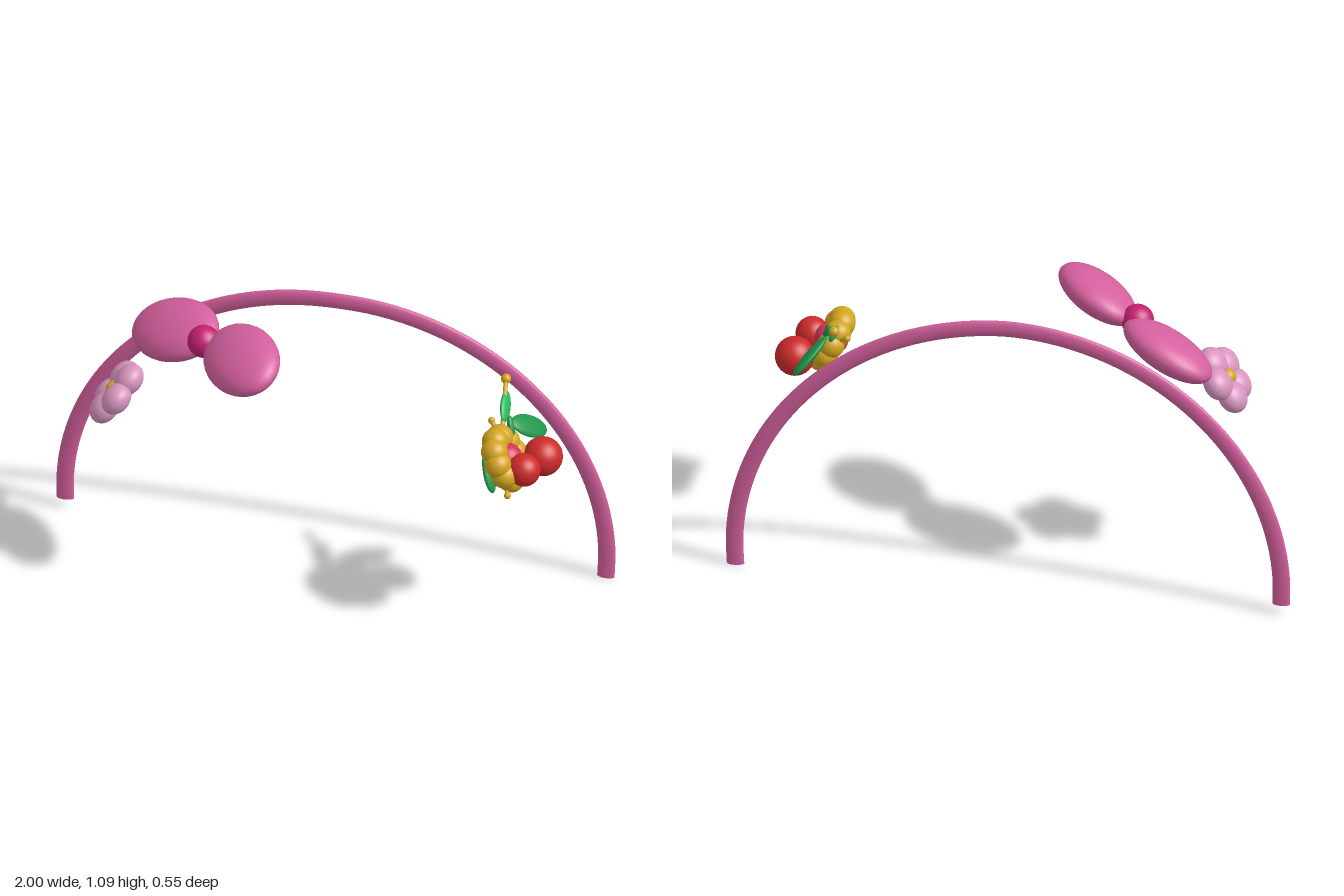
import * as THREE from 'three';

const V = (a) => new THREE.Vector3(...a);

function paint(name, color, side = THREE.FrontSide) {
  const m = new THREE.MeshStandardMaterial({ color, side });
  m.name = name;
  return m;
}

export function createModel() {
  const root = new THREE.Group();
  root.name = 'decoratedHeadband';

  const pink = paint('pink', 0xd4609e, THREE.DoubleSide);
  const magenta = paint('magenta', 0xc42070);
  const palePink = paint('palePink', 0xd795bf);
  const yellow = paint('yellow', 0xd3a51e);
  const red = paint('red', 0xcc2a2a);
  const rose = paint('rose', 0xd8305a);
  const lightGreen = paint('lightGreen', 0x2bb85c);
  const green = paint('green', 0x1f964a);

  const ball = new THREE.SphereGeometry(1, 32, 20);

  // Ellipsoid with its x half-size along "long" and y half-size along "normal"
  function ellipsoid(parent, name, mat, pos, size, long = [1, 0, 0], normal = [0, 1, 0]) {
    const x = V(long).normalize();
    const z = x.clone().cross(V(normal)).normalize();
    const y = z.clone().cross(x);
    const mesh = new THREE.Mesh(ball, mat);
    mesh.name = name;
    mesh.quaternion.setFromRotationMatrix(new THREE.Matrix4().makeBasis(x, y, z));
    mesh.position.copy(V(pos));
    mesh.scale.set(...size);
    parent.add(mesh);
    return mesh;
  }

  function group(name) {
    const g = new THREE.Group();
    g.name = name;
    root.add(g);
    return g;
  }

  // Ring of round petals in the plane spanned by the tangent and z
  function petalRing(parent, mat, center, tangent, normal, count, ring, size) {
    const t = V(tangent).normalize();
    for (let i = 0; i < count; i++) {
      const a = (i / count) * Math.PI * 2;
      const out = t.clone().multiplyScalar(Math.cos(a)).add(V([0, 0, Math.sin(a)]));
      const p = V(center).addScaledVector(out, ring);
      ellipsoid(parent, 'petal', mat, p.toArray(), size, out.toArray(), normal);
    }
  }

  // Headband: flattened tube along an arc, bowed slightly forward at the top
  const band = group('headband');
  const flat = 0.46, R = 0.968, start = -0.088, end = Math.PI + 0.05;
  band.scale.z = flat;
  const arcPoint = (a) => {
    const x = R * Math.cos(a);
    return new THREE.Vector3(x, 0.09 + R * Math.sin(a), (-0.236 - 0.027 * Math.abs(x)) / flat);
  };
  const path = [];
  for (let i = 0; i <= 32; i++) path.push(arcPoint(start + ((end - start) * i) / 32));
  const arc = new THREE.CatmullRomCurve3(path);
  const tube = new THREE.Mesh(new THREE.TubeGeometry(arc, 96, 0.031, 20), pink);
  tube.name = 'bandArc';
  band.add(tube);
  for (const u of [0, 1]) {
    const cap = new THREE.Mesh(new THREE.CircleGeometry(0.031, 20), pink);
    cap.name = 'bandEnd';
    const p = arc.getPointAt(u);
    cap.position.copy(p);
    cap.lookAt(p.clone().addScaledVector(arc.getTangentAt(u), u ? 1 : -1));
    band.add(cap);
  }

  // Bow: two flattened lobes and a knot
  const bow = group('bow');
  const bowNormal = [-0.41, 0.87, 0.27];
  const lobe = [0.185, 0.068, 0.13];
  ellipsoid(bow, 'bowLobeFront', pink, [-0.253, 1.01, 0.115], lobe, [0.636, 0.048, 0.77], bowNormal);
  ellipsoid(bow, 'bowLobeBack', pink, [-0.538, 0.942, -0.103], lobe, [0.84, 0.26, 0.476], bowNormal);
  ellipsoid(bow, 'bowKnot', magenta, [-0.413, 0.988, 0.004], [0.058, 0.058, 0.058]);

  // Small five-petal flower
  const flower = group('smallFlower');
  const fc = [-0.715, 0.755, 0.045], fn = [-0.8, 0.6, 0];
  petalRing(flower, palePink, fc, [0.6, 0.8, 0], fn, 5, 0.071, [0.06, 0.047, 0.06]);
  ellipsoid(flower, 'flowerCenter', yellow, fc, [0.036, 0.042, 0.036], [0.6, 0.8, 0], fn);

  // Yellow flower with many petals
  const bloom = group('yellowFlower');
  const bc = [0.688, 0.73, 0.108], bn = [0.87, 0.49, 0], bt = [-0.49, 0.87, 0];
  petalRing(bloom, yellow, bc, bt, bn, 10, 0.076, [0.047, 0.047, 0.047]);
  ellipsoid(bloom, 'bloomCenter', rose, bc, [0.055, 0.06, 0.055], bt, bn);

  // Red berries
  const berries = group('berries');
  ellipsoid(berries, 'largeBerry', red, [0.803, 0.698, 0.025], [0.07, 0.07, 0.07]);
  ellipsoid(berries, 'smallBerry', red, [0.762, 0.72, 0.148], [0.059, 0.059, 0.059]);

  // Leaves
  const leaves = group('leaves');
  ellipsoid(leaves, 'upperLeaf', lightGreen, [0.655, 0.845, -0.038], [0.064, 0.013, 0.03], [-0.1, 0.4, -0.95], [0.9, 0.35, 0.1]);
  ellipsoid(leaves, 'backLeaf', green, [0.735, 0.758, -0.06], [0.092, 0.016, 0.044], [0.5, -0.5, -0.65], [0.75, 0.65, 0.05]);
  ellipsoid(leaves, 'frontLeaf', green, [0.645, 0.715, 0.18], [0.075, 0.016, 0.035], [0.25, -0.75, 0.45], [0.9, 0.4, 0.1]);
  ellipsoid(leaves, 'smallLeaf', green, [0.69, 0.805, 0.03], [0.045, 0.012, 0.016], [0.2, -0.85, 0.4], [0.9, 0.3, 0.1]);

  // Stamens: thin stalks with round tips
  const stamens = group('stamens');
  const stalks = [
    [[0.66, 0.81, 0.03], [0.64, 0.906, -0.117], 0.018],
    [[0.67, 0.75, 0.06], [0.614, 0.805, 0.0], 0.012],
    [[0.7, 0.68, 0.16], [0.715, 0.638, 0.2], 0.012],
  ];
  for (const [from, to, r] of stalks) {
    const line = new THREE.LineCurve3(V(from), V(to));
    const stalk = new THREE.Mesh(new THREE.TubeGeometry(line, 1, 0.008, 10), yellow);
    stalk.name = 'stalk';
    stamens.add(stalk);
    ellipsoid(stamens, 'stalkTip', yellow, to, [r, r, r]);
  }

  return root;
}
